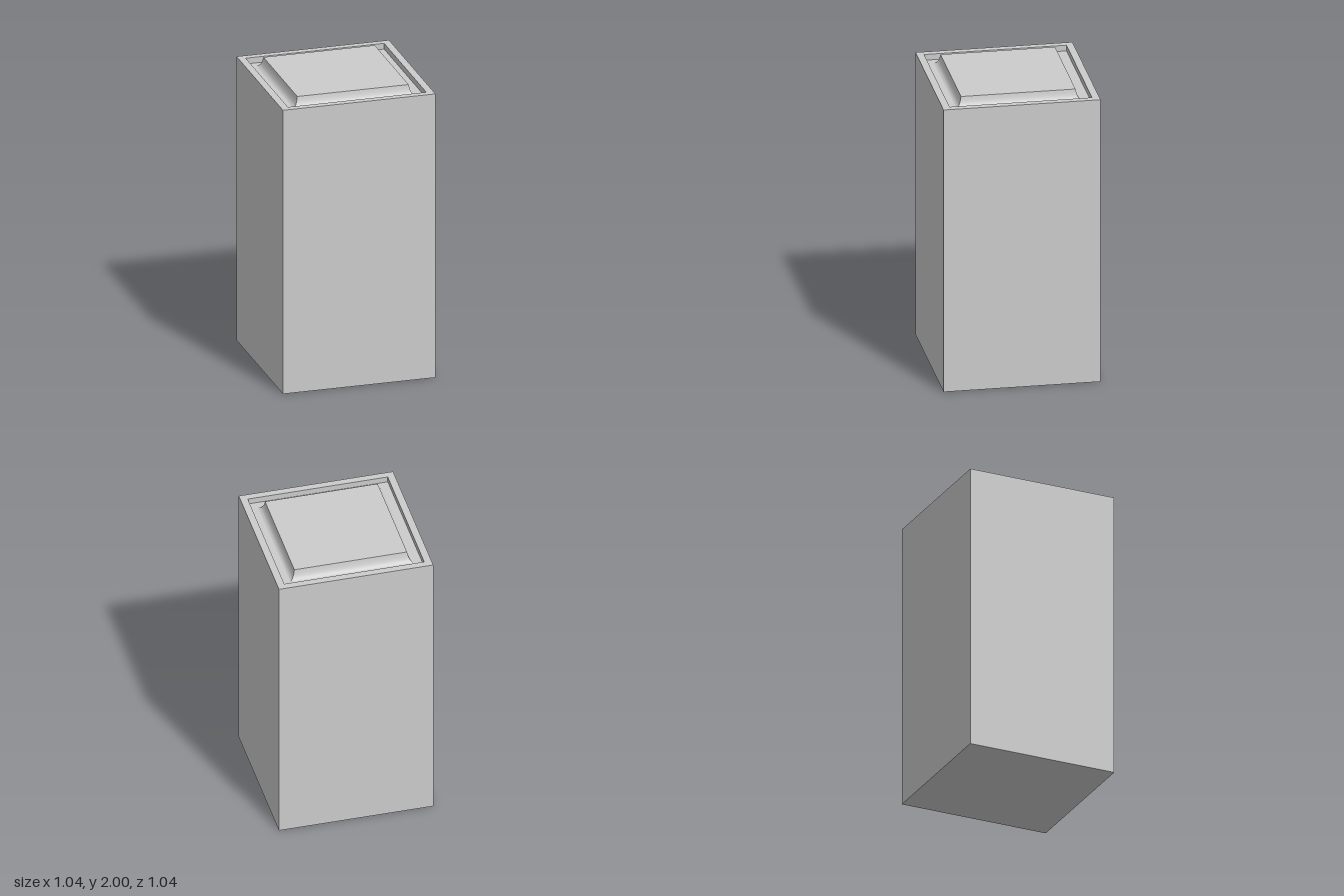
import * as THREE from 'three';
import { toCreasedNormals } from 'three/addons/utils/BufferGeometryUtils.js';

const material = new THREE.MeshStandardMaterial({ color: 0xcccccc });

// Sweeps a profile of [half width, height] points, bottom to top, around a square
function squareSweep(name, profile) {
  const points = profile.map(([half, y]) => new THREE.Vector2(half * Math.SQRT2, y));
  const geometry = new THREE.LatheGeometry(points, 4, Math.PI / 4);
  const mesh = new THREE.Mesh(toCreasedNormals(geometry, 0.6), material);
  mesh.name = name;
  return mesh;
}

export function createModel() {
  const group = new THREE.Group();
  group.name = 'squarePillar';

  const half = 0.518, rimInner = 0.47, rimTop = 1.97, floorY = 1.93;

  // Tall square body with a shallow tray sunk into its top
  group.add(squareSweep('body', [
    [0, 0], [half, 0], [half, rimTop], [rimInner, rimTop], [rimInner, floorY], [0, floorY],
  ]));

  // Raised panel with hollow-curved sides flaring out to the tray floor
  const cove = new THREE.QuadraticBezierCurve(
    new THREE.Vector2(0.415, floorY),
    new THREE.Vector2(0.388, 1.937),
    new THREE.Vector2(0.378, 2),
  );
  const flare = cove.getPoints(8).map((p) => [p.x, p.y]);
  group.add(squareSweep('raisedPanel', [...flare, [0, 2]]));

  return group;
}
